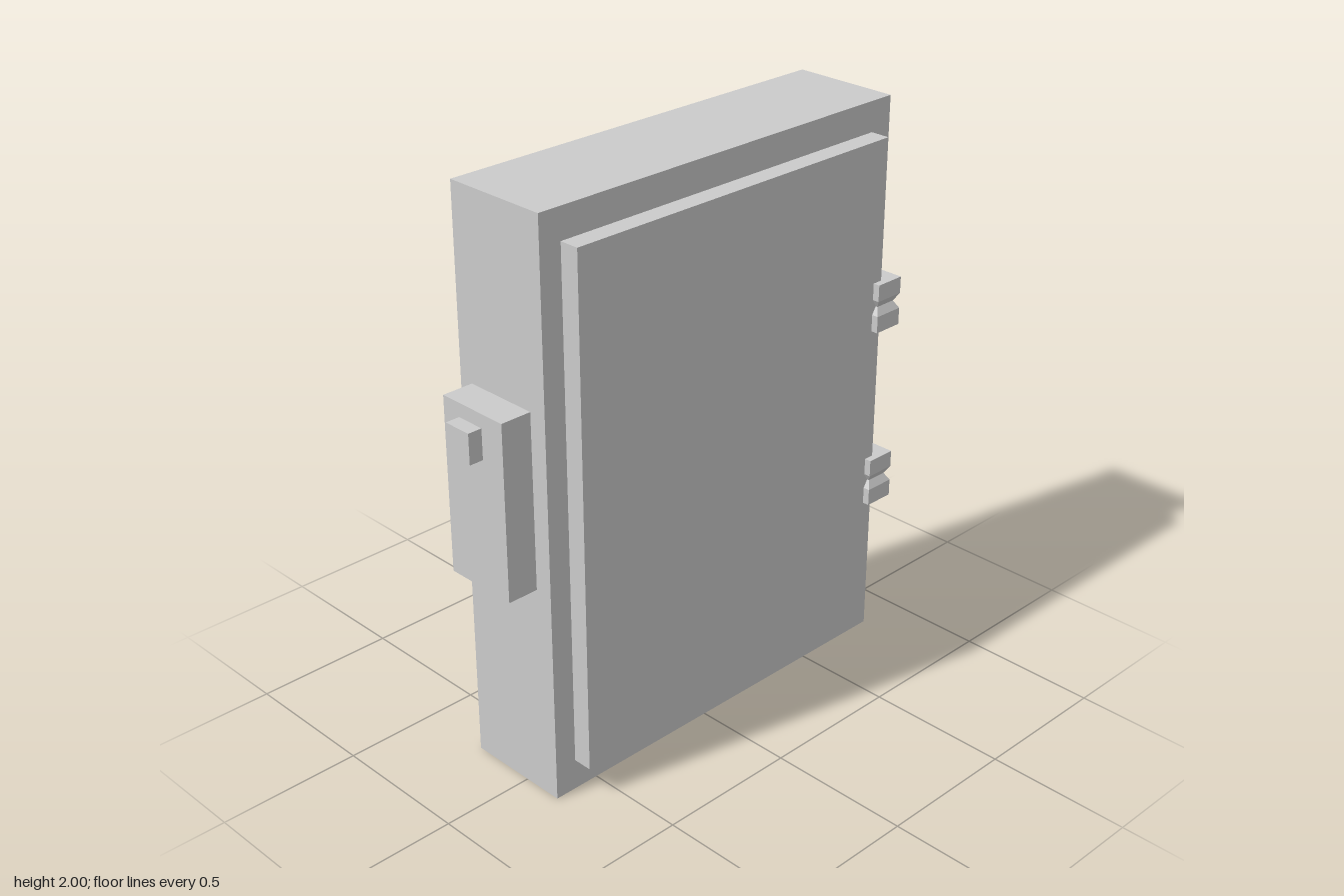
import * as THREE from 'three';

const material = new THREE.MeshStandardMaterial({ color: 0xcccccc, flatShading: true });

// Box given by its minimum and maximum on each axis
function block(name, [x0, x1], [y0, y1], [z0, z1]) {
  const mesh = new THREE.Mesh(new THREE.BoxGeometry(x1 - x0, y1 - y0, z1 - z0), material);
  mesh.position.set((x0 + x1) / 2, (y0 + y1) / 2, (z0 + z1) / 2);
  mesh.name = name;
  return mesh;
}

// Hinge knuckle: a block pinched by a V-groove around its middle, flat at the back
function hingeGeometry(width, height, depth, grooveHalf, inset) {
  const box = new THREE.BoxGeometry(width, height, depth, 1, 4, 1);
  const p = box.attributes.position;
  for (let i = 0; i < p.count; i++) {
    const y = p.getY(i);
    if (Math.abs(y) < 0.001) {
      p.setX(i, p.getX(i) - Math.sign(p.getX(i)) * inset);
      if (p.getZ(i) > 0) p.setZ(i, p.getZ(i) - inset);
    } else if (Math.abs(y) < height * 0.4) {
      p.setY(i, Math.sign(y) * grooveHalf);
    }
  }
  const geometry = box.toNonIndexed();
  geometry.computeVertexNormals();
  return geometry;
}

export function createModel() {
  const cabinet = new THREE.Group();
  cabinet.name = 'wallCabinet';

  // Main case and raised door
  cabinet.add(block('case', [-0.67, 0.83], [0, 2], [-0.238, 0.145]));
  cabinet.add(block('door', [-0.59, 0.745], [0.11, 1.895], [0.145, 0.214]));

  // Switch box on the side, with its button
  cabinet.add(block('switchBox', [-0.78, -0.67], [0.757, 1.365], [-0.186, 0.081]));
  cabinet.add(block('switchButton', [-0.83, -0.78], [1.212, 1.317], [-0.115, -0.012]));

  // Two hinges on the door's edge
  const geometry = hingeGeometry(0.11, 0.172, 0.093, 0.027, 0.016);
  for (const [name, y] of [['upperHinge', 1.314], ['lowerHinge', 0.66]]) {
    const hinge = new THREE.Mesh(geometry, material);
    hinge.position.set(0.763, y, 0.1915);
    hinge.name = name;
    cabinet.add(hinge);
  }
  return cabinet;
}
